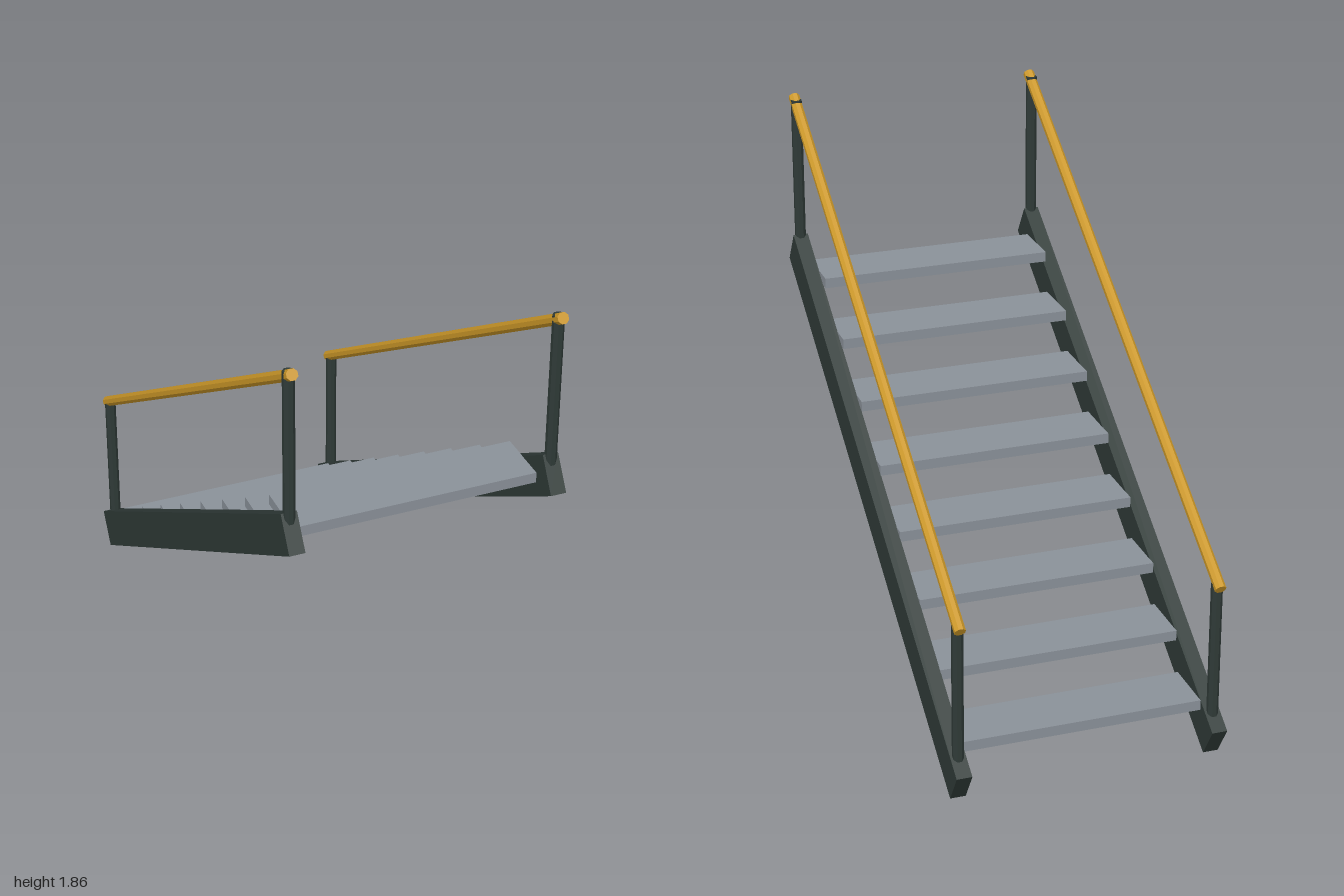
import * as THREE from 'three';

export function createModel() {
  const model = new THREE.Group();
  model.name = 'staircase';

  const material = (name, color) => {
    const m = new THREE.MeshStandardMaterial({ color });
    m.name = name;
    return m;
  };
  const darkSteel = material('dark steel', 0x2f3a37);
  const treadGrey = material('tread grey', 0x8a9199);
  const railYellow = material('rail yellow', 0xcc9828);

  const add = (parent, name, geometry, mat, x, y, z, tilt = 0) => {
    const mesh = new THREE.Mesh(geometry, mat);
    mesh.name = name;
    mesh.position.set(x, y, z);
    mesh.rotation.x = tilt;
    parent.add(mesh);
  };

  // Eight-sided bar with flats facing the axes
  const bar = (width, length) => {
    const radius = width / 2 / Math.cos(Math.PI / 8);
    const g = new THREE.CylinderGeometry(radius, radius, length, 8).rotateY(Math.PI / 8).toNonIndexed();
    g.computeVertexNormals();
    return g;
  };

  const slope = 0.561; // pitch of the flight, rising toward the front
  const sideX = 0.45;

  // Stringers, posts and handrails, one set per side
  for (const [label, sign] of [['left', 1], ['right', -1]]) {
    const side = new THREE.Group();
    side.name = label + 'Side';
    model.add(side);
    const x = sign * sideX;

    add(side, 'stringer', new THREE.BoxGeometry(0.054, 0.135, 2.27), darkSteel, x, 0.661, 0, -slope);

    for (const [name, z, bottom, top] of [['upperPost', 0.928, 1.24, 1.837], ['lowerPost', -0.928, 0.1, 0.645]]) {
      add(side, name, bar(0.037, top - bottom), darkSteel, x, (top + bottom) / 2, z);
    }

    add(side, 'handrail', bar(0.037, 2.266), railYellow, x, 1.238, 0, Math.PI / 2 - slope);
  }

  // Open treads
  const treads = new THREE.Group();
  treads.name = 'treads';
  model.add(treads);
  const treadGeometry = new THREE.BoxGeometry(0.848, 0.037, 0.203);
  for (let i = 0; i < 8; i++) {
    add(treads, 'tread', treadGeometry, treadGrey, 0, 0.165 + i * 0.1497, -0.788 + i * 0.225);
  }

  return model;
}
